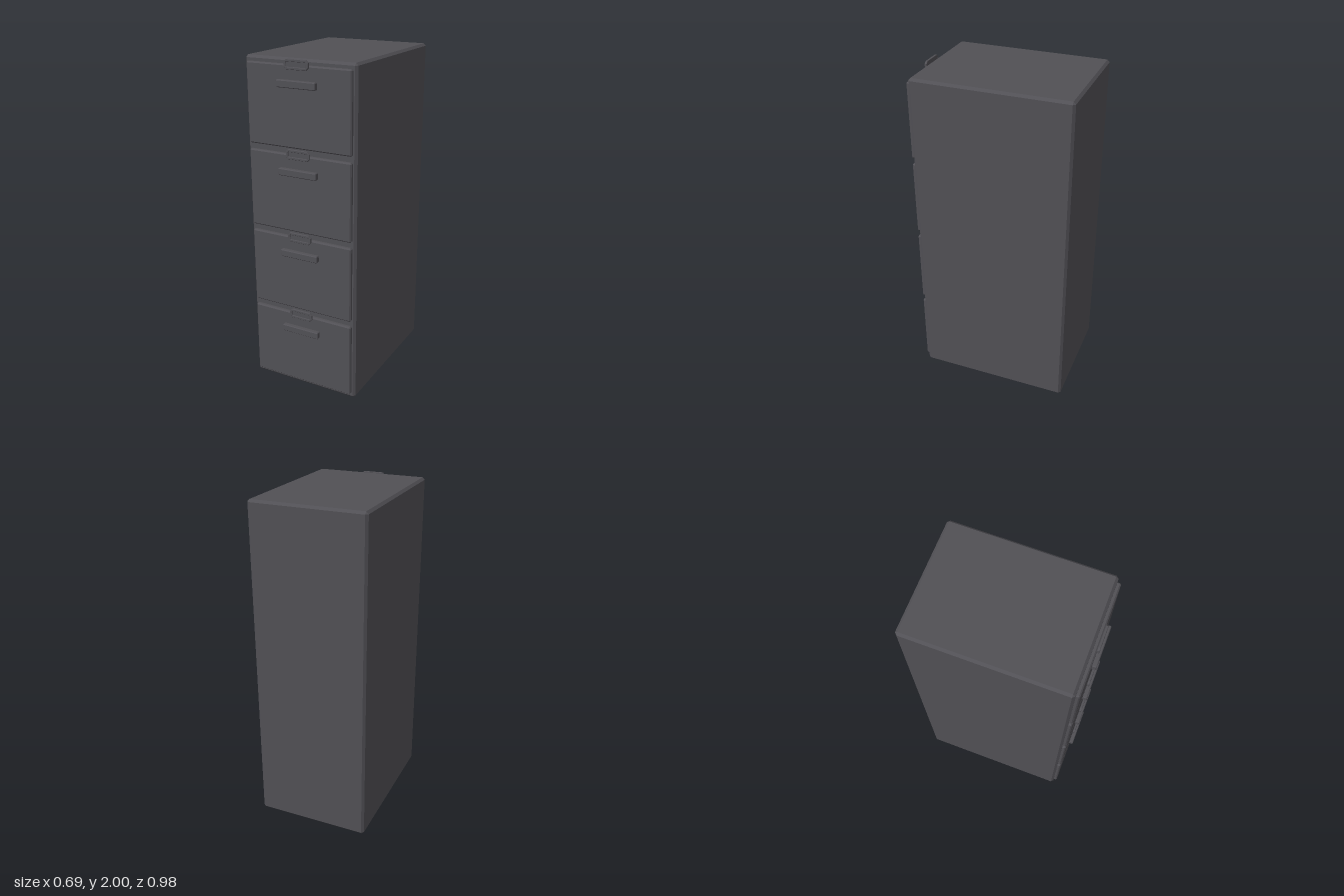
import * as THREE from 'three';
import { ConvexGeometry } from 'three/addons/geometries/ConvexGeometry.js';

const metal = new THREE.MeshStandardMaterial({ color: 0x515055 });
metal.name = 'dark grey metal';

// Box between two corners with every edge chamfered by c
function chamferBox(name, min, max, c) {
  const points = [];
  for (const sx of [-1, 1]) for (const sy of [-1, 1]) for (const sz of [-1, 1]) {
    const s = [sx, sy, sz];
    for (let axis = 0; axis < 3; axis++) {
      // Only one axis reaches its full extent at each point
      const p = s.map((v, i) => (v < 0 ? min[i] : max[i]) - (i === axis ? 0 : v * c));
      points.push(new THREE.Vector3(...p));
    }
  }
  const mesh = new THREE.Mesh(new ConvexGeometry(points), metal);
  mesh.name = name;
  return mesh;
}

// Rectangle outline with cut corners
function cutRectangle(Type, w, h, c) {
  const x = w / 2, y = h / 2;
  return new Type([
    [-x + c, -y], [x - c, -y], [x, -y + c], [x, y - c],
    [x - c, y], [-x + c, y], [-x, y - c], [-x, -y + c],
  ].map(([a, b]) => new THREE.Vector2(a, b)));
}

// Raised rim around a recessed plate
function labelHolder(y) {
  const group = new THREE.Group();
  group.name = 'labelHolder';
  const shape = cutRectangle(THREE.Shape, 0.146, 0.052, 0.013);
  shape.holes.push(cutRectangle(THREE.Path, 0.126, 0.032, 0.004));
  const rim = new THREE.Mesh(new THREE.ExtrudeGeometry(shape, {
    depth: 0.009, bevelEnabled: true, bevelThickness: 0.002, bevelSize: 0.002, bevelSegments: 1,
  }), metal);
  rim.name = 'labelRim';
  rim.position.set(0, y, 0.468);
  const plate = new THREE.Mesh(new THREE.BoxGeometry(0.13, 0.036, 0.006), metal);
  plate.name = 'labelPlate';
  plate.position.set(0, y, 0.47);
  group.add(rim, plate);
  return group;
}

export function createModel() {
  const model = new THREE.Group();
  model.name = 'filingCabinet';
  model.add(chamferBox('cabinetBody', [-0.347, 0, -0.491], [0.347, 2, 0.445], 0.014));

  // Four identical drawers, stacked from the bottom
  for (let i = 0; i < 4; i++) {
    const y = 0.03 + i * 0.4935;
    const drawer = new THREE.Group();
    drawer.name = 'drawer' + (i + 1);
    drawer.add(
      chamferBox('drawerFront', [-0.326, y, 0.425], [0.326, y + 0.458, 0.466], 0.007),
      chamferBox('drawerHandle', [-0.121, y + 0.336, 0.46], [0.121, y + 0.377, 0.491], 0.004),
      labelHolder(y + 0.461),
    );
    model.add(drawer);
  }
  return model;
}
